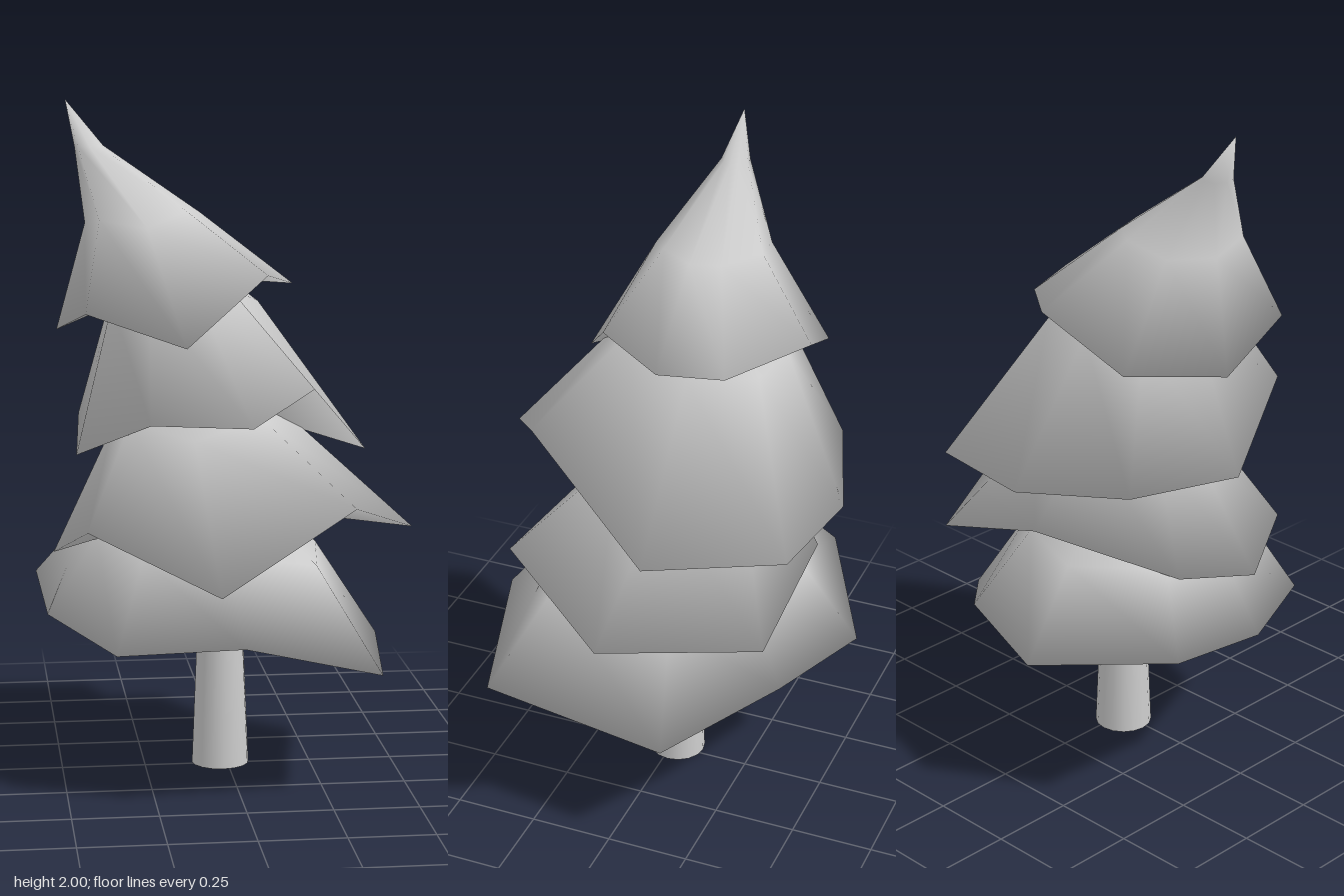
import * as THREE from 'three';

const grey = new THREE.MeshStandardMaterial({ color: 0xcccccc });
grey.name = 'plain grey';

// Closed smooth shell: tip, rings of corners going down, then a hollow point closing the underside
function shell(tip, rings, hollow) {
  const n = rings[0].length;
  const last = 1 + (rings.length - 1) * n;
  const idx = [];
  for (let i = 0; i < n; i++) {
    const j = (i + 1) % n;
    idx.push(0, 1 + i, 1 + j);
    for (let l = 1 + n; l <= last; l += n) {
      const u = l - n;
      idx.push(u + i, l + i, l + j, u + i, l + j, u + j);
    }
    idx.push(last + n, last + j, last + i);
  }
  const g = new THREE.BufferGeometry();
  g.setFromPoints([tip, ...rings.flat(), hollow]);
  g.setIndex(idx);
  g.computeVertexNormals();
  return g;
}

// One tier: the jagged rim is shrunk and evened out about each step's centre on its way up
function makeTier(name, tip, steps, corners) {
  const rim = corners.map(p => new THREE.Vector3(...p));
  const middle = new THREE.Vector3();
  rim.forEach(p => middle.addScaledVector(p, 1 / rim.length));
  const rings = steps.map(([x, y, z, s]) => {
    const centre = new THREE.Vector3(x, y, z);
    const shrink = new THREE.Vector3(s, s * s, s);
    return rim.map(p => p.clone().sub(middle).multiply(shrink).add(centre));
  });
  const hollow = middle.clone().setY(middle.y + 0.07);
  const tier = new THREE.Mesh(shell(new THREE.Vector3(...tip), [...rings, rim], hollow), grey);
  tier.name = name;
  return tier;
}

export function createModel() {
  const tree = new THREE.Group();
  tree.name = 'tree';

  // Tapered trunk
  const trunk = new THREE.Mesh(new THREE.CylinderGeometry(0.06, 0.086, 0.64, 16), grey);
  trunk.name = 'trunk';
  trunk.position.set(-0.02, 0.32, -0.015);
  tree.add(trunk);

  // Drooping tiers of branches, from the ground up; rims run from the front round by the left
  tree.add(makeTier('bottomBranches', [-0.06, 0.95, 0], [[-0.08, 0.7, -0.01, 0.66]], [
    [-0.01, 0.49, 0.545], [0.4, 0.375, 0.44], [0.48, 0.355, -0.16], [0.2, 0.475, -0.43],
    [-0.16, 0.455, -0.55], [-0.56, 0.535, -0.34], [-0.54, 0.48, 0.02], [-0.36, 0.44, 0.39],
  ]));
  tree.add(makeTier('lowerBranches', [-0.1, 1.3, -0.02], [[-0.1, 1.05, -0.05, 0.5]], [
    [-0.07, 0.625, 0.495], [0.33, 0.85, 0.38], [0.56, 0.72, 0.01], [0.33, 0.69, -0.42],
    [-0.08, 0.82, -0.44], [-0.45, 0.72, -0.225], [-0.52, 0.67, 0.02], [-0.43, 0.765, 0.22],
  ]));
  tree.add(makeTier('upperBranches', [-0.18, 1.62, -0.03], [[-0.13, 1.42, -0.06, 0.5]], [
    [0.02, 1.105, 0.485], [0.21, 1.195, 0.355], [0.43, 0.945, -0.08], [0.27, 0.965, -0.465],
    [-0.08, 0.97, -0.515], [-0.42, 1.02, -0.395], [-0.45, 0.96, 0.02], [-0.26, 1.105, 0.4],
  ]));
  // Top tier bends sideways into a narrow curled tip
  const bend = [[-0.4, 1.865, -0.04, 0.12], [-0.24, 1.66, -0.03, 0.48]];
  tree.add(makeTier('topBranches', [-0.47, 2, -0.04], bend, [
    [-0.15, 1.31, 0.32], [0.1, 1.5, 0.17], [0.2, 1.455, -0.035], [0.14, 1.445, -0.22],
    [-0.08, 1.485, -0.4], [-0.36, 1.36, -0.36], [-0.5, 1.32, -0.09], [-0.43, 1.4, 0.215],
  ]));
  return tree;
}
